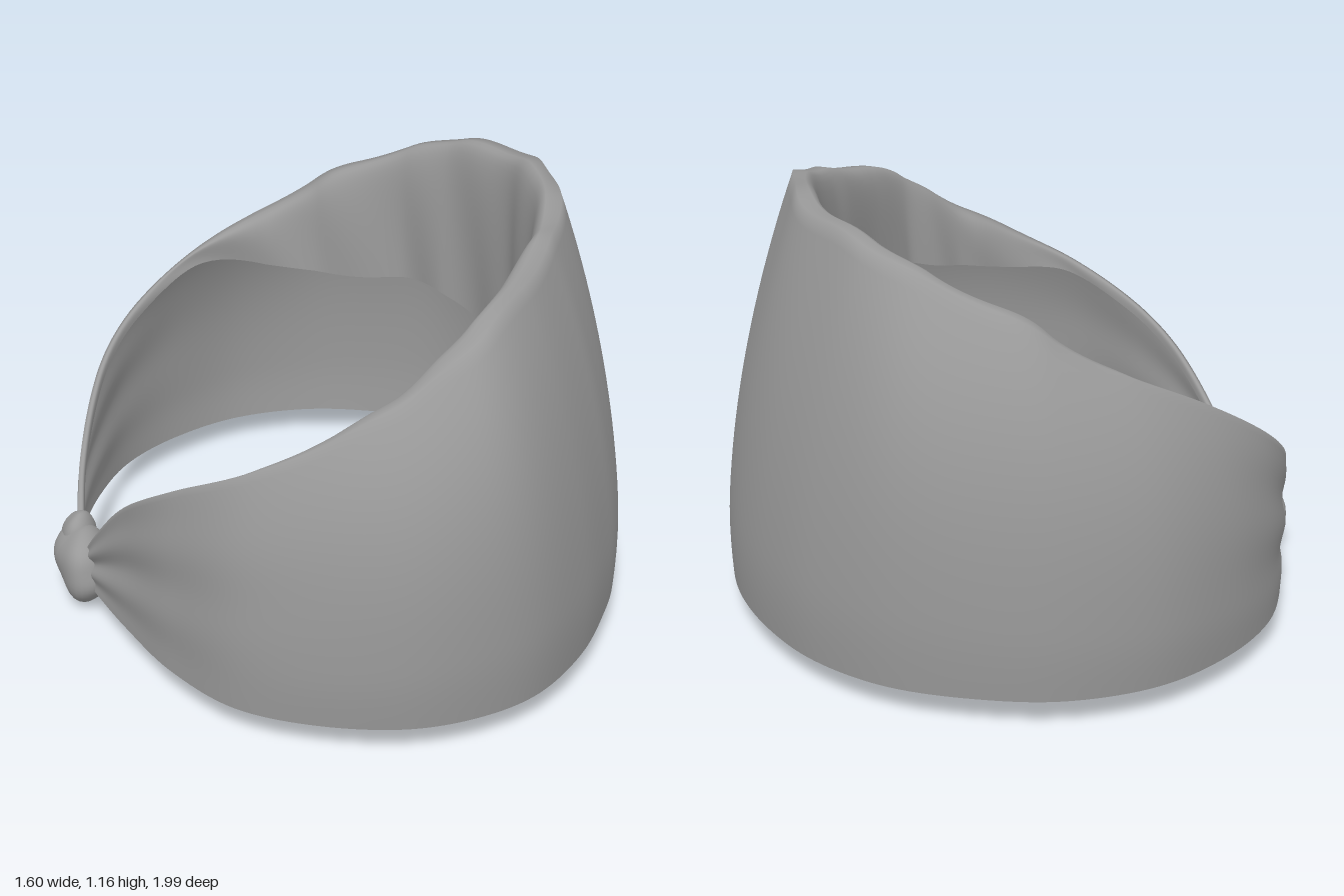
import * as THREE from 'three';

const BOTTOM = 0.075;
const { smoothstep } = THREE.MathUtils;

// Stations round the band, from the front of the knot to its back:
// lower edge x, z, then height of the top edge, then height of the inner hem's end
const STATIONS = [
  [-0.71, 0.16, 0.18, 0.15], [-0.68, 0.24, 0.26, 0.23], [-0.6, 0.43, 0.43, 0.4],
  [-0.485, 0.66, 0.58, 0.55], [-0.33, 0.855, 0.69, 0.65], [-0.13, 0.955, 0.78, 0.67],
  [0.09, 0.99, 0.87, 0.69], [0.275, 0.95, 0.945, 0.71], [0.43, 0.86, 1.0, 0.73],
  [0.585, 0.67, 1.055, 0.75], [0.69, 0.46, 1.09, 0.72], [0.74, 0.33, 1.115, 0.33],
  [0.79, 0.12, 1.15, 0.34], [0.8, -0.1, 1.16, 0.42], [0.775, -0.3, 1.15, 0.54],
  [0.7, -0.52, 1.135, 0.62], [0.59, -0.71, 1.11, 0.66], [0.42, -0.87, 1.065, 0.66],
  [0.2, -0.965, 0.995, 0.65], [-0.01, -1, 0.92, 0.66], [-0.25, -0.95, 0.825, 0.68],
  [-0.45, -0.81, 0.73, 0.69], [-0.6, -0.62, 0.6, 0.57], [-0.69, -0.38, 0.44, 0.41],
  [-0.73, -0.16, 0.3, 0.27], [-0.735, 0.02, 0.2, 0.17],
];

const material = () => new THREE.MeshStandardMaterial({ color: 0x999999, side: THREE.DoubleSide });

// Grid surface from rows of points
function gridGeometry(cols, rows, pointAt) {
  const pos = [], index = [];
  for (let i = 0; i <= cols; i++) {
    for (let j = 0; j <= rows; j++) {
      pos.push(...pointAt(i / cols, j));
      if (i < cols && j < rows) {
        const a = i * (rows + 1) + j, b = a + rows + 1;
        index.push(a, b, a + 1, b, b + 1, a + 1);
      }
    }
  }
  const g = new THREE.BufferGeometry();
  g.setAttribute('position', new THREE.Float32BufferAttribute(pos, 3));
  g.setIndex(index);
  g.computeVertexNormals();
  return g;
}

// Cloth band: outer wall leaning inward, rolled over the top into an inner hem
function clothBand() {
  const path = new THREE.CatmullRomCurve3(STATIONS.map(s => new THREE.Vector3(s[0], s[2], s[1])));
  const hem = new THREE.CatmullRomCurve3(STATIONS.map(s => new THREE.Vector3(s[0], s[3], s[1])));
  const WALL = 26, HEM = 16;
  return gridGeometry(220, WALL + HEM, (u, j) => {
    // the same raw parameter on both curves keeps the hem under its own part of the edge
    const p = path.getPoint(u), t = path.getTangent(u);
    const len = Math.hypot(t.x, t.z);
    const nx = t.z / len, nz = -t.x / len; // inward
    const broad = smoothstep(p.y, 0.55, 0.85);
    const top = p.y + broad * (0.003 * Math.sin(u * 95) + 0.003 * Math.sin(u * 61 + 1));
    const lean = 0.21 * smoothstep(top, 0.45, 1.02);
    let y, inset;
    if (j <= WALL) {
      const v = j / WALL;
      const curve = 3.4 - 1.5 * smoothstep(p.x, 0.3, 0.72); // fuller sides, straighter tall end
      y = BOTTOM + (top - BOTTOM) * v;
      inset = lean * Math.pow(v, curve) - 0.01 * Math.sin(Math.min(1, v * 5) * Math.PI / 2) * broad + 0.008 * broad;
      // gathered pleats that fan out from the knot
      const pleat = (1 - smoothstep(p.y, 0.3, 0.85)) * Math.sin(v * Math.PI);
      inset += 0.008 * pleat * Math.sin(v * 15 + u * 4);
      // soft creases below the top edge
      inset += 0.004 * broad * v * v * (Math.sin(u * 70 + v * 3) + Math.sin(u * 43 - v * 2));
    } else {
      const s = (j - WALL) / HEM;
      const drop = Math.max(0.02, top - hem.getPoint(u).y);
      const width = 0.085 * Math.min(1, drop / 0.15);
      y = top - drop * Math.pow(s, 1.8) + 0.012 * broad * Math.sin(s * Math.PI) * (1 - s);
      inset = lean - 0.002 * broad + width * Math.sqrt(1 - Math.pow(1 - s, 3));
      inset += broad * s * 0.008 * (Math.sin(u * 85 + s * 4) + Math.sin(u * 52));
    }
    return [p.x + nx * inset, y, p.z + nz * inset];
  });
}

// Lumpy rounded lobe of the knot
function lobe(name, size, position, rotation, phase) {
  const g = new THREE.SphereGeometry(1, 32, 24);
  const p = g.attributes.position, v = new THREE.Vector3();
  for (let i = 0; i < p.count; i++) {
    v.fromBufferAttribute(p, i);
    v.multiplyScalar(1 + 0.05 * Math.sin(v.x * 3 + v.z * 4 + phase) + 0.03 * Math.sin(v.y * 5 - v.z * 3));
    p.setXYZ(i, v.x * size[0], v.y * size[1], v.z * size[2]);
  }
  g.computeVertexNormals();
  const m = new THREE.Mesh(g, material());
  m.name = name;
  m.position.set(...position);
  m.rotation.set(...rotation);
  return m;
}

export function createModel() {
  const model = new THREE.Group();
  model.name = 'headband';

  const band = new THREE.Mesh(clothBand(), material());
  band.name = 'clothBand';
  model.add(band);

  // Knot tying the two ends together
  const knot = new THREE.Group();
  knot.name = 'knot';
  knot.add(
    lobe('knotBody', [0.076, 0.1, 0.14], [-0.722, 0.11, 0.09], [0.1, 0.2, 0], 0.5),
    lobe('knotWrap', [0.05, 0.085, 0.075], [-0.735, 0.15, 0.03], [0.2, 0, -0.1], 1),
  );
  model.add(knot);
  return model;
}
